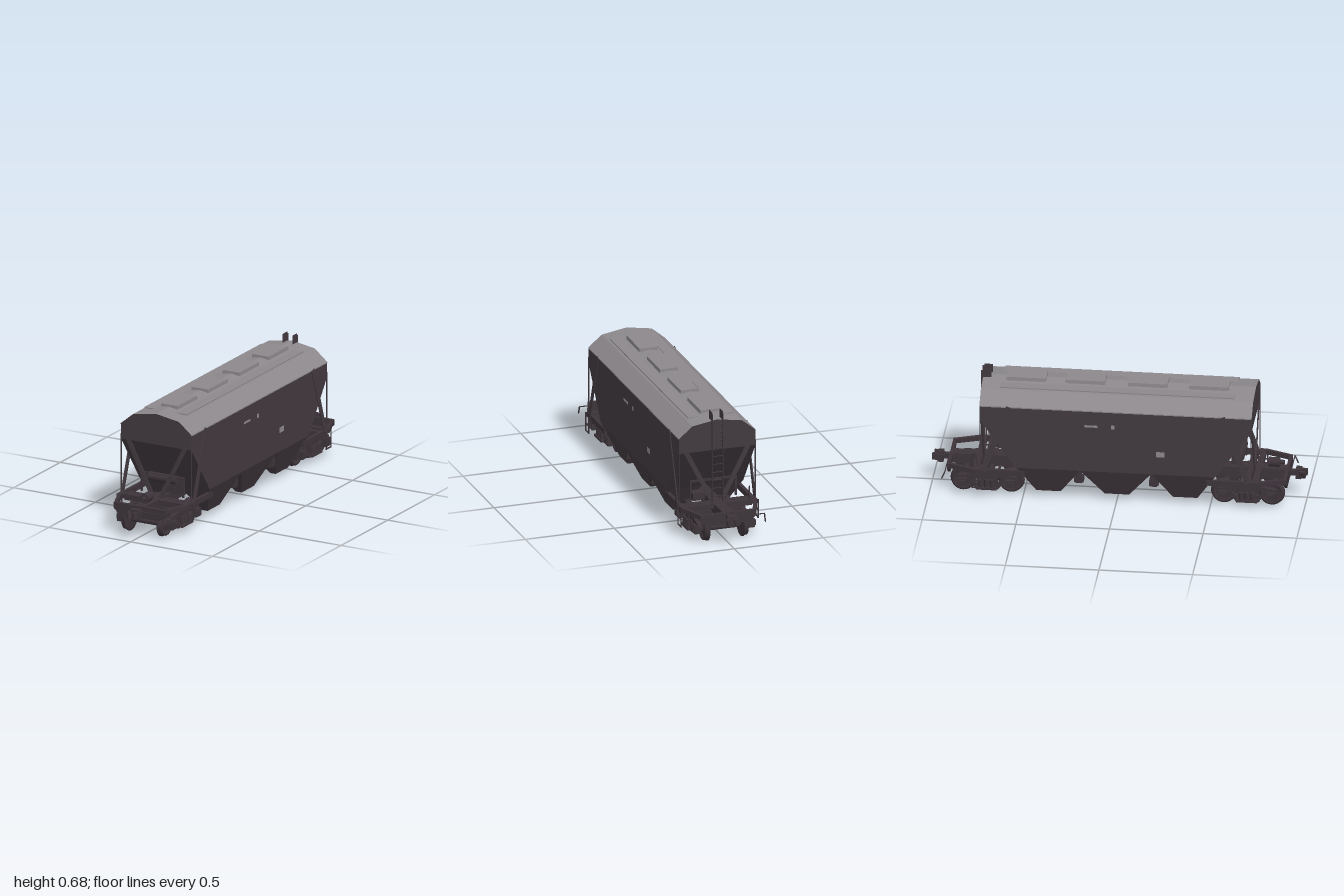
import * as THREE from 'three';
import { ConvexGeometry } from 'three/addons/geometries/ConvexGeometry.js';

const paint = (name, color) => {
  const m = new THREE.MeshStandardMaterial({ color });
  m.name = name;
  return m;
};

export function createModel() {
  const body = paint('dark plum paint', 0x42393f);
  const frame = paint('underframe paint', 0x3d343a);
  const grey = paint('roof grey', 0x8c888c);
  const root = new THREE.Group();
  root.name = 'hopperWagon';

  const add = (parent, name, geo, mat, x = 0, y = 0, z = 0) => {
    const m = new THREE.Mesh(geo, mat);
    m.name = name;
    m.position.set(x, y, z);
    parent.add(m);
    return m;
  };
  const box = (parent, name, mat, w, h, d, x, y, z) =>
    add(parent, name, new THREE.BoxGeometry(w, h, d), mat, x, y, z);
  // Cylinder lying along x or z
  const rod = (parent, name, mat, r, len, axis, x, y, z, n = 16) => {
    const g = new THREE.CylinderGeometry(r, r, len, n);
    if (axis === 'x') g.rotateZ(Math.PI / 2);
    if (axis === 'z') g.rotateX(Math.PI / 2);
    return add(parent, name, g, mat, x, y, z);
  };
  // Straight bar from a to b
  const beam = (parent, name, mat, a, b, w, d) => {
    const p = new THREE.Vector3(...a), q = new THREE.Vector3(...b);
    const dir = q.clone().sub(p);
    const m = add(parent, name, new THREE.BoxGeometry(w, dir.length(), d), mat);
    m.position.copy(p).add(q).multiplyScalar(0.5);
    m.quaternion.setFromUnitVectors(new THREE.Vector3(0, 1, 0), dir.normalize());
    return m;
  };
  const shape = pts => new THREE.Shape(pts.map(p => new THREE.Vector2(...p)));
  const slab = (s, depth) => new THREE.ExtrudeGeometry(s, { depth, bevelEnabled: false });

  // Body: side outline pushed across the width
  const side = slab(shape([[-0.53, 0.2], [0.53, 0.2], [0.725, 0.47], [0.725, 0.556],
    [-0.725, 0.556], [-0.725, 0.47]]), 0.43);
  side.translate(0, 0, -0.215).rotateY(Math.PI / 2);
  add(root, 'body', side, body);

  // Roof: faceted arch, dark ends and grey top
  const roof = slab(shape([[-0.216, 0.55], [0.216, 0.55], [0.216, 0.556], [0.14, 0.619],
    [0, 0.642], [-0.14, 0.619], [-0.216, 0.556]]), 1.454);
  add(root, 'roof', roof, [body, grey], 0, 0, -0.727);
  for (const s of [-1, 1])
    box(root, 'roofWalkway', grey, 0.06, 0.006, 1.25, s * 0.1, 0.628, 0);
  [-0.495, -0.18, 0.153, 0.48].forEach(z => {
    const hatch = slab(shape([[-0.052, 0.625], [0.052, 0.625], [0.05, 0.653], [-0.05, 0.653]]), 0.21);
    add(root, 'roofHatch', hatch, grey, 0, 0, z - 0.105);
  });

  // Discharge hoppers: three pairs straddling the centre sill
  const bays = [[0.53, 0.19, 0.43, 0.3], [0.19, -0.19, 0.065, -0.065], [-0.19, -0.53, -0.3, -0.43]];
  for (const s of [-1, 1]) for (const [t0, t1, b0, b1] of bays) {
    const pts = [];
    for (const z of [t0, t1]) for (const x of [0.015, 0.215]) pts.push(new THREE.Vector3(s * x, 0.201, z));
    for (const z of [b0, b1]) for (const x of [0.11, 0.145]) pts.push(new THREE.Vector3(s * x, 0.04, z));
    add(root, 'hopper', new ConvexGeometry(pts), body);
  }
  box(root, 'centreSill', frame, 0.06, 0.055, 1.78, 0, 0.15, 0);
  for (const s of [-1, 1]) for (const z of [-0.2, 0.2]) {
    box(root, 'hopperLever', frame, 0.02, 0.07, 0.035, s * 0.18, 0.15, z);
    box(root, 'hopperGearbox', frame, 0.04, 0.03, 0.05, s * 0.16, 0.13, z);
  }

  // Small pale side panels
  for (const s of [-1, 1])
    [[0.13, 0.465, 0.07, 0.012], [0.015, 0.465, 0.02, 0.022], [-0.24, 0.318, 0.045, 0.03]].forEach(
      ([z, y, w, h]) => box(root, 'sidePanel', grey, 0.002, h, w, s * 0.215, y, -s * z * -1));

  // Bogie: two wheelsets between cast side frames
  const makeBogie = () => {
    const g = new THREE.Group();
    g.name = 'bogie';
    const lathe = [[0.016, -0.018], [0.06, -0.012], [0.07, -0.012], [0.07, -0.006], [0.065, -0.005],
      [0.064, 0.013], [0.052, 0.013], [0.048, 0.005], [0.028, 0.006], [0.016, 0.016]];
    for (const z of [-0.128, 0.128]) {
      rod(g, 'axle', frame, 0.017, 0.3, 'x', 0, 0.074, z, 12);
      for (const s of [-1, 1]) {
        const w = new THREE.LatheGeometry(lathe.map(p => new THREE.Vector2(...p)), 24);
        w.rotateZ(-s * Math.PI / 2);
        add(g, 'wheel', w, frame, s * 0.108, 0.075, z);
        box(g, 'axleBox', frame, 0.04, 0.045, 0.05, s * 0.15, 0.075, z);
        box(g, 'bearingCap', frame, 0.01, 0.028, 0.03, s * 0.173, 0.075, z);
      }
    }
    const cast = shape([[-0.16, 0.09], [-0.1, 0.09], [-0.06, 0.035], [0.06, 0.035], [0.1, 0.09],
      [0.16, 0.09], [0.155, 0.108], [0.08, 0.125], [-0.08, 0.125], [-0.155, 0.108]]);
    for (const z of [-1, 1])
      cast.holes.push(new THREE.Path([[0.05, 0.06], [0.085, 0.092], [0.065, 0.108], [0.05, 0.108]]
        .map(([a, b]) => new THREE.Vector2(z * a, b))));
    for (const s of [-1, 1]) {
      const geo = slab(cast, 0.024);
      geo.translate(0, 0, -0.012).rotateY(Math.PI / 2);
      add(g, 'sideFrame', geo, frame, s * 0.142, 0, 0);
      box(g, 'springPlank', frame, 0.05, 0.012, 0.11, s * 0.15, 0.046, 0);
      for (const z of [-0.03, 0, 0.03])
        add(g, 'spring', new THREE.CylinderGeometry(0.012, 0.012, 0.045, 10), frame, s * 0.16, 0.072, z);
      for (const z of [-0.05, 0.05])
        box(g, 'brakeShoe', frame, 0.025, 0.045, 0.012, s * 0.105, 0.08, z);
    }
    box(g, 'bolster', frame, 0.32, 0.03, 0.06, 0, 0.112, 0);
    for (const z of [-0.05, 0.05]) rod(g, 'brakeBeam', frame, 0.007, 0.22, 'x', 0, 0.08, z, 8);
    return g;
  };

  // End platform with struts, built for the +z end
  const makeEnd = () => {
    const g = new THREE.Group();
    g.name = 'endPlatform';
    const deck = shape([[-0.213, -0.73], [-0.213, -0.76], [-0.155, -0.905], [0.155, -0.905],
      [0.213, -0.76], [0.213, -0.73]]);
    for (const s of [-1, 1])
      deck.holes.push(new THREE.Path([[0.032, -0.762], [0.19, -0.762], [0.142, -0.888], [0.032, -0.888]]
        .map(([x, z]) => new THREE.Vector2(s * x, z))));
    const deckGeo = slab(deck, 0.025);
    deckGeo.rotateX(-Math.PI / 2);
    add(g, 'platformFrame', deckGeo, frame, 0, 0.152, 0);
    add(g, 'headstock', slab(shape([[-0.118, 0.111], [0.118, 0.111], [0.158, 0.145], [0.158, 0.176],
      [-0.158, 0.176], [-0.158, 0.145]]), 0.014), frame, 0, 0, 0.892);
    box(g, 'crossBeam', frame, 0.4, 0.045, 0.03, 0, 0.15, 0.7);
    for (const s of [-1, 1]) {
      box(g, 'sideSill', frame, 0.02, 0.03, 0.25, s * 0.2, 0.162, 0.61);
      beam(g, 'endStrut', body, [s * 0.175, 0.475, 0.722], [s * 0.02, 0.17, 0.722], 0.025, 0.006);
      beam(g, 'sideStrut', body, [s * 0.217, 0.555, 0.57], [s * 0.217, 0.17, 0.705], 0.006, 0.028);
      beam(g, 'cornerPost', body, [s * 0.214, 0.5, 0.724], [s * 0.214, 0.17, 0.724], 0.005, 0.005);
      // Corner step
      for (const z of [0.715, 0.765])
        box(g, 'stepHanger', frame, 0.005, 0.105, 0.006, s * 0.217, 0.122, z);
      for (const y of [0.073, 0.115])
        box(g, 'stepTread', frame, 0.006, 0.006, 0.055, s * 0.217, y, 0.74);
    }
    // Equipment frame above the cross beam
    for (const s of [-1, 1]) box(g, 'rackPost', frame, 0.01, 0.11, 0.01, s * 0.127, 0.23, 0.66);
    box(g, 'rackRail', frame, 0.264, 0.01, 0.01, 0, 0.28, 0.66);
    // Coupler
    box(g, 'couplerShank', frame, 0.025, 0.03, 0.08, 0, 0.15, 0.925);
    box(g, 'couplerHead', frame, 0.05, 0.055, 0.03, 0.002, 0.148, 0.955);
    beam(g, 'couplerJaw', frame, [-0.018, 0.148, 0.96], [-0.026, 0.148, 0.992], 0.014, 0.04);
    beam(g, 'couplerKnuckle', frame, [0.02, 0.148, 0.96], [0.014, 0.148, 1.0], 0.018, 0.036);
    box(g, 'couplerLock', frame, 0.02, 0.035, 0.03, 0.026, 0.148, 0.955);
    // Release lever
    rod(g, 'releaseBar', frame, 0.003, 0.2, 'x', 0.1, 0.15, 0.912, 6);
    beam(g, 'releaseHandle', frame, [0.2, 0.15, 0.912], [0.2, 0.108, 0.93], 0.006, 0.006);
    return g;
  };

  for (const s of [1, -1]) {
    const bogie = makeBogie();
    bogie.position.z = s * 0.695;
    root.add(bogie);
    const end = makeEnd();
    if (s < 0) end.rotation.y = Math.PI;
    root.add(end);
  }

  // Brake gear on the front end
  rod(root, 'airReservoir', frame, 0.024, 0.17, 'x', 0, 0.263, 0.65, 20);
  box(root, 'brakeCabinet', frame, 0.1, 0.09, 0.03, 0.05, 0.22, 0.61);
  rod(root, 'brakeCylinder', frame, 0.025, 0.06, 'z', 0, 0.206, 0.825, 20);
  rod(root, 'brakeCylinderNose', frame, 0.012, 0.03, 'z', 0, 0.206, 0.865, 12);
  box(root, 'brakeCylinderFoot', frame, 0.03, 0.02, 0.05, 0, 0.182, 0.825);

  // Ladder, valve box and handrail on the back end
  for (const x of [-0.03, 0.03]) {
    box(root, 'ladderStringer', body, 0.003, 0.05, 0.045, x, 0.66, -0.705);
    box(root, 'ladderStringer', body, 0.004, 0.5, 0.014, x, 0.425, -0.731);
  }
  for (let i = 0; i < 10; i++)
    rod(root, 'ladderRung', body, 0.0025, 0.06, 'x', 0, 0.21 + i * 0.045, -0.732, 6);
  box(root, 'valveBox', frame, 0.07, 0.04, 0.06, 0.09, 0.2, -0.66);
  const rail = new THREE.CatmullRomCurve3([[-0.17, 0.175, -0.74], [-0.17, 0.255, -0.755],
    [-0.165, 0.235, -0.77], [-0.16, 0.175, -0.775]].map(p => new THREE.Vector3(...p)));
  add(root, 'handrail', new THREE.TubeGeometry(rail, 16, 0.0025, 6), frame);
  return root;
}
